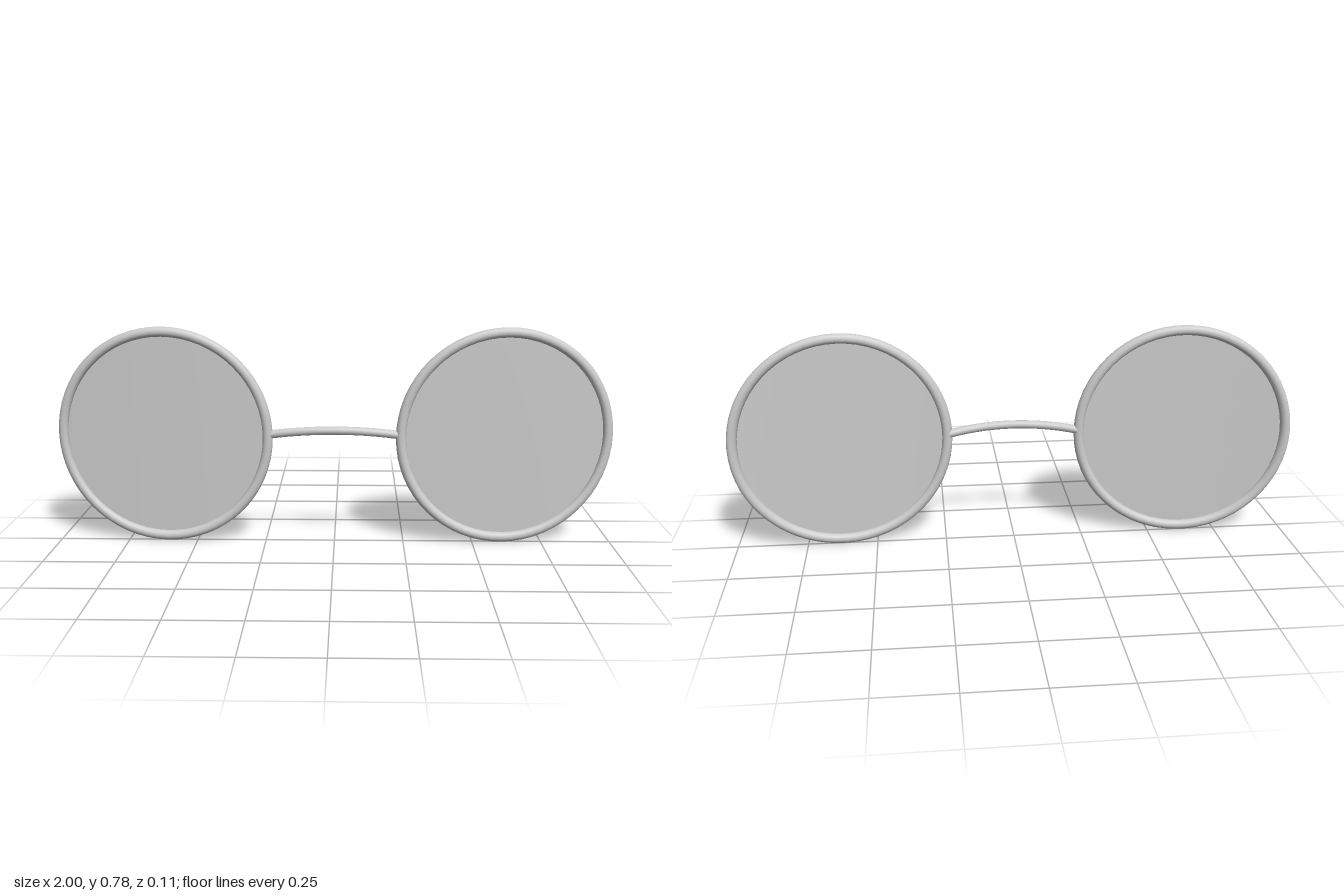
import * as THREE from 'three';

const CENTER_X = 0.61, CENTER_Y = 0.393;
const RIM_RADIUS = 0.373, WIRE_RADIUS = 0.018;

// Shared face wrap: the whole front curves backwards towards the temples
const wrapZ = (x) => 0.027 - 0.0675 * x * x;

// Moves a flat geometry to one eye and bends it along the wrap
function bendToEye(geometry, side) {
  geometry.translate(side * CENTER_X, CENTER_Y, 0);
  const p = geometry.attributes.position;
  for (let i = 0; i < p.count; i++) p.setZ(i, p.getZ(i) + wrapZ(p.getX(i)));
  geometry.computeBoundingSphere();
  // Tilt the normals to follow the bend
  const n = geometry.attributes.normal;
  const v = new THREE.Vector3();
  for (let i = 0; i < n.count; i++) {
    v.fromBufferAttribute(n, i);
    v.x += 0.135 * p.getX(i) * v.z;
    v.normalize();
    n.setXYZ(i, v.x, v.y, v.z);
  }
  return geometry;
}

export function createModel() {
  const group = new THREE.Group();
  group.name = 'glasses';
  const metal = new THREE.MeshStandardMaterial({ color: 0xcccccc });
  const glass = new THREE.MeshStandardMaterial({ color: 0xcccccc, side: THREE.DoubleSide });

  const add = (name, geometry, material) => {
    const mesh = new THREE.Mesh(geometry, material);
    mesh.name = name;
    group.add(mesh);
    return mesh;
  };

  // Round wire rims with thin curved lenses
  for (const [label, side] of [['left', 1], ['right', -1]]) {
    add(label + 'Rim', bendToEye(new THREE.TorusGeometry(RIM_RADIUS, WIRE_RADIUS, 14, 64), side), metal);
    add(label + 'Lens', bendToEye(new THREE.RingGeometry(0.0005, RIM_RADIUS, 64, 12), side), glass);
  }

  // Bridge: arched up and forward between the rims
  const arch = new THREE.CatmullRomCurve3(
    [-1, -0.75, -0.5, -0.25, 0, 0.25, 0.5, 0.75, 1].map((t) =>
      new THREE.Vector3(t * 0.232, 0.422 - 0.02 * t * t, 0.043 - 0.022 * t * t)));
  add('bridge', new THREE.TubeGeometry(arch, 32, 0.015, 12), metal);

  // Rounded solder joints closing the bridge ends
  for (const [label, t] of [['right', 0], ['left', 1]]) {
    const joint = add(label + 'BridgeJoint', new THREE.SphereGeometry(0.015, 12, 8), metal);
    joint.position.copy(arch.getPoint(t));
  }

  return group;
}
